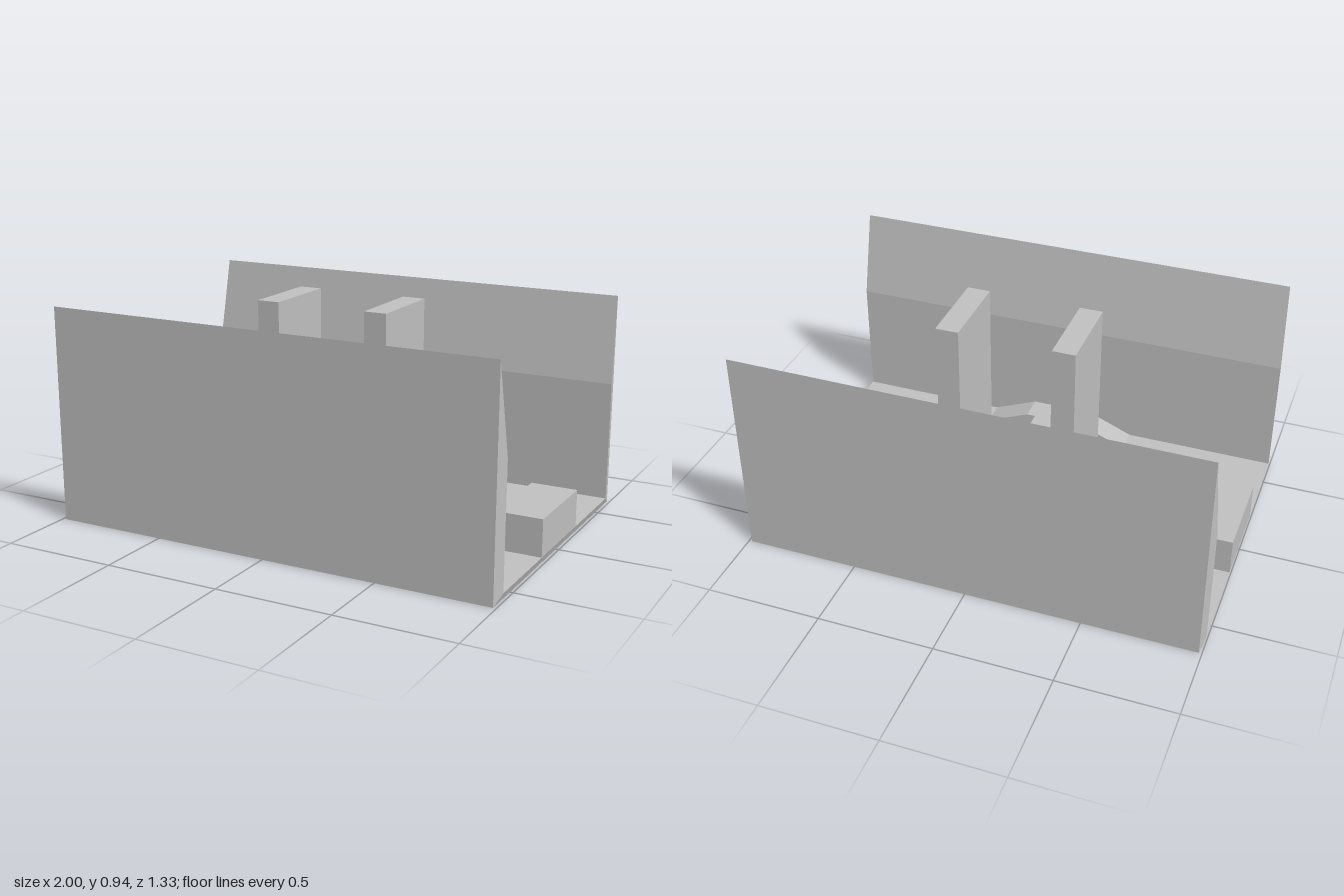
import * as THREE from 'three';

const FLOOR = 0.035;

// Extrude an x-y outline between two z values
function prism(points, z0, z1) {
  const shape = new THREE.Shape(points.map(([x, y]) => new THREE.Vector2(x, y)));
  const geo = new THREE.ExtrudeGeometry(shape, { depth: z1 - z0, bevelEnabled: false });
  return geo.translate(0, 0, z0);
}

// Channel shell: one cross-section of [z, y, half length], closed by mitred end faces
function shellGeometry() {
  const section = [
    [0.665, 0.93, 0.987], [0.665, 0, 0.987], [-0.665, 0, 0.987], [-0.665, 0.93, 0.987],
    [-0.6, 0.555, 1], [-0.6, FLOOR, 1], [0.6, FLOOR, 1], [0.6, 0.555, 1],
  ];
  const positions = [];
  const corner = (i, side) => [section[i][2] * side, section[i][1], section[i][0]];
  const quad = (a, b, c, d) => positions.push(...a, ...b, ...c, ...a, ...c, ...d);
  section.forEach((_, i) => {
    const j = (i + 1) % section.length;
    quad(corner(i, 1), corner(i, -1), corner(j, -1), corner(j, 1));
  });
  for (const cap of [[0, 1, 6, 7], [1, 2, 5, 6], [2, 3, 4, 5]]) {
    quad(...cap.map((i) => corner(i, 1)));
    quad(...cap.slice().reverse().map((i) => corner(i, -1)));
  }
  const geo = new THREE.BufferGeometry();
  geo.setAttribute('position', new THREE.Float32BufferAttribute(positions, 3));
  geo.computeVertexNormals();
  return geo;
}

export function createModel() {
  const model = new THREE.Group();
  const grey = new THREE.MeshStandardMaterial({ color: 0xc0c0c0 });
  grey.name = 'plain grey';

  const add = (name, geo, parent = model) => {
    const mesh = new THREE.Mesh(geo, grey);
    mesh.name = name;
    parent.add(mesh);
  };

  // Floor and the two tapering side walls
  add('floorAndWalls', shellGeometry());

  // Raised block with a shallow ramp at each open end
  const endBlock = prism(
    [[1, FLOOR], [1, 0.195], [0.8, 0.195], [0.8, 0.055], [0.705, FLOOR]].reverse(), -0.2, 0.2);

  // Tall pillar with a low step on its outer side
  const pillar = prism(
    [[0.2, FLOOR], [0.4, FLOOR], [0.4, 0.155], [0.3, 0.155], [0.3, 0.937], [0.2, 0.937]], -0.18, 0.18);

  // Ledge along each wall, ramped at both ends, with a square landing
  const ledge = prism(
    [[-0.335, FLOOR], [0.335, FLOOR], [0.14, 0.115], [-0.14, 0.115]], 0.485, 0.6);
  const landing = new THREE.BoxGeometry(0.2, 0.08, 0.1).translate(0, 0.075, 0.435);

  // Everything repeats after half a turn
  ['left', 'right'].forEach((side, i) => {
    const half = new THREE.Group();
    half.name = side + 'Half';
    half.rotation.y = i * Math.PI;
    add('endBlock', endBlock, half);
    add('pillar', pillar, half);
    add('wallLedge', ledge, half);
    add('landing', landing, half);
    model.add(half);
  });

  return model;
}
